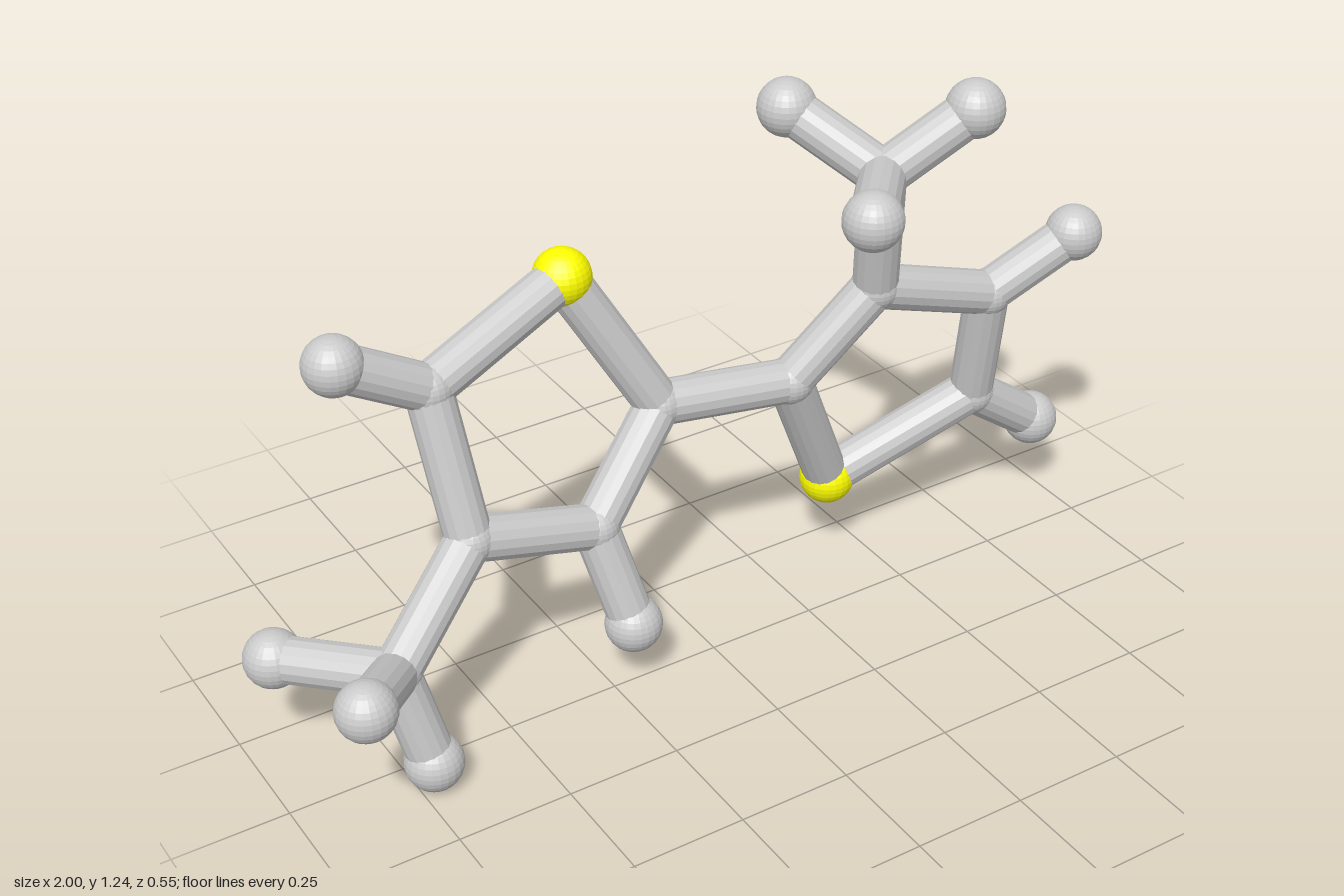
import * as THREE from 'three';

// Atom centres: [x, y, z]
const ATOMS = {
  // left ring
  sulfurA: [-0.226, 0.893, -0.212],
  bridgeA: [-0.045, 0.57, -0.145],
  lowerA: [-0.25, 0.38, -0.065],
  cornerA: [-0.54, 0.46, -0.06],
  upperA: [-0.565, 0.775, -0.15],
  // left ring's outer ends and methyl branch
  hydrogenA1: [-0.755, 0.885, -0.155],
  hydrogenA2: [-0.2, 0.153, 0],
  methylA: [-0.765, 0.283, 0.04],
  hydrogenA3: [-0.938, 0.262, -0.16],
  hydrogenA4: [-0.903, 0.366, 0.21],
  hydrogenA5: [-0.715, 0.066, 0.08],
  // right ring
  sulfurB: [0.408, 0.214, -0.168],
  bridgeB: [0.255, 0.55, -0.1],
  upperB: [0.435, 0.75, -0.05],
  cornerB: [0.732, 0.65, -0.04],
  lowerB: [0.753, 0.36, -0.1],
  // right ring's outer ends and methyl branch
  hydrogenB1: [0.909, 0.776, 0.024],
  hydrogenB2: [0.938, 0.225, -0.103],
  methylB: [0.395, 1.05, 0.015],
  hydrogenB3: [0.23, 1.077, 0.21],
  hydrogenB4: [0.273, 1.163, -0.155],
  hydrogenB5: [0.57, 1.178, 0.08],
};

const BONDS = [
  // rings
  'sulfurA bridgeA', 'bridgeA lowerA', 'lowerA cornerA', 'cornerA upperA', 'upperA sulfurA',
  'sulfurB bridgeB', 'bridgeB upperB', 'upperB cornerB', 'cornerB lowerB', 'lowerB sulfurB',
  // link between the rings
  'bridgeA bridgeB',
  // branches
  'upperA hydrogenA1', 'lowerA hydrogenA2', 'cornerA methylA',
  'methylA hydrogenA3', 'methylA hydrogenA4', 'methylA hydrogenA5',
  'cornerB hydrogenB1', 'lowerB hydrogenB2', 'upperB methylB',
  'methylB hydrogenB3', 'methylB hydrogenB4', 'methylB hydrogenB5',
];

const BOND_RADIUS = 0.049, JOINT_RADIUS = 0.053, END_RADIUS = 0.062;

export function createModel() {
  const model = new THREE.Group();
  model.name = 'molecule';
  const grey = new THREE.MeshStandardMaterial({ color: 0xcccccc, flatShading: true });
  const yellow = new THREE.MeshStandardMaterial({ color: 0xffff00, flatShading: true });
  const joint = new THREE.SphereGeometry(JOINT_RADIUS, 24, 16);
  const end = new THREE.SphereGeometry(END_RADIUS, 24, 16);

  // atoms: small spheres at carbon joints, larger ones for hydrogen and sulfur
  for (const [name, centre] of Object.entries(ATOMS)) {
    const sulfur = name.startsWith('sulfur');
    const large = sulfur || name.startsWith('hydrogen');
    const atom = new THREE.Mesh(large ? end : joint, sulfur ? yellow : grey);
    atom.name = large ? name : name + 'Carbon';
    atom.position.set(...centre);
    model.add(atom);
  }

  // bonds: straight rods between atom centres
  const up = new THREE.Vector3(0, 1, 0);
  for (const pair of BONDS) {
    const [from, to] = pair.split(' ');
    const a = new THREE.Vector3(...ATOMS[from]);
    const b = new THREE.Vector3(...ATOMS[to]);
    const rod = new THREE.CylinderGeometry(BOND_RADIUS, BOND_RADIUS, a.distanceTo(b), 16, 1, true);
    const bond = new THREE.Mesh(rod, grey);
    bond.name = `bond ${from} to ${to}`;
    bond.position.copy(a).lerp(b, 0.5);
    bond.quaternion.setFromUnitVectors(up, b.sub(a).normalize());
    model.add(bond);
  }
  return model;
}
